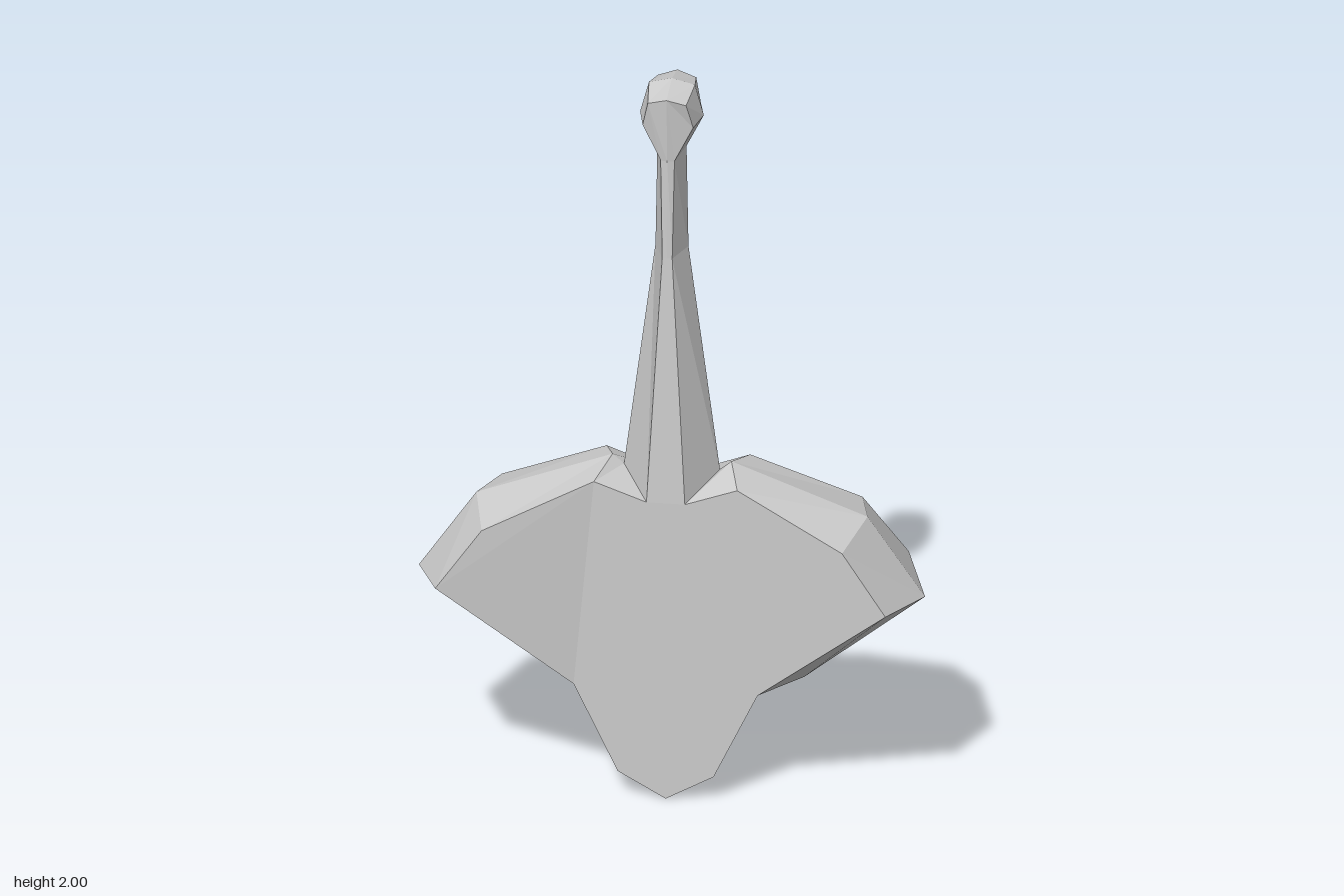
import * as THREE from 'three';

const material = new THREE.MeshStandardMaterial({
  color: 0xcccccc, flatShading: true, side: THREE.DoubleSide,
});

// Mirrors the faces of one quadrant (+x, +z) into all four; corners run counter-clockwise from outside
function mirroredMesh(name, faces) {
  const positions = [];
  for (const sx of [1, -1]) {
    for (const sz of [1, -1]) {
      for (const face of faces) {
        const corners = face.map(([x, y, z]) => [x * sx, y, z * sz]);
        if (sx * sz < 0) corners.reverse();
        for (let i = 1; i < corners.length - 1; i++) {
          positions.push(...corners[0], ...corners[i], ...corners[i + 1]);
        }
      }
    }
  }
  const geometry = new THREE.BufferGeometry();
  geometry.setAttribute('position', new THREE.Float32BufferAttribute(positions, 3));
  geometry.computeVertexNormals();
  const mesh = new THREE.Mesh(geometry, material);
  mesh.name = name;
  return mesh;
}

// Quads joining two matching rows of points
function strip(a, b) {
  return a.slice(1).map((p, i) => [a[i], b[i], b[i + 1], p]);
}

export function createModel() {
  const group = new THREE.Group();
  group.name = 'axe';

  // Blade outline: front edge and the ridge around the rim, bottom to top
  const edge = [[0.24, 0.31, 0.11], [0.587, 0.6, 0.203], [0.47, 0.76, 0.176], [0.187, 0.89, 0.112], [0.05, 0.84, 0.11]];
  const ridge = [[0.345, 0.32, 0], [0.66, 0.57, 0], [0.51, 0.787, 0], [0.155, 0.92, 0], [0.125, 0.895, 0]];

  // Thin cheek plates hanging below the open blade body
  group.add(mirroredMesh('cheekPlates', [
    [[0, 0.84, 0.11], [0, 0, 0.11], [0.125, 0.07, 0.11], edge[0], edge[4]],
    [edge[4], edge[0], edge[3]],
  ]));
  group.add(mirroredMesh('bladeFaces', [edge.slice(0, 4)]));
  group.add(mirroredMesh('bladeRim', strip(ridge, edge)));

  // Tapered handle: front centre, front corner and side ridge of each section
  const sections = [
    [[0, 0.84, 0.11], edge[4], ridge[4]],
    [[0, 1.525, 0.083], [0.013, 1.525, 0.083], [0.043, 1.525, 0]],
    [[0, 1.8, 0.083], [0.018, 1.8, 0.077], [0.038, 1.81, 0]],
  ];
  group.add(mirroredMesh('handle', [
    ...strip(sections[1], sections[0]), ...strip(sections[2], sections[1]),
  ]));

  // Faceted pommel: end cap outline, middle outline and cap centre
  const cap = [sections[2][1], [0.066, 1.895, 0.07], [0.05, 1.965, 0.088], [0, 1.98, 0.096]];
  const middle = [sections[2][2], [0.083, 1.9, 0], [0.06, 1.985, 0], [0, 2, 0]];
  group.add(mirroredMesh('pommel', [
    ...strip(middle, cap),
    [cap[3], sections[2][0], cap[0], cap[1], cap[2]],
  ]));

  return group;
}
